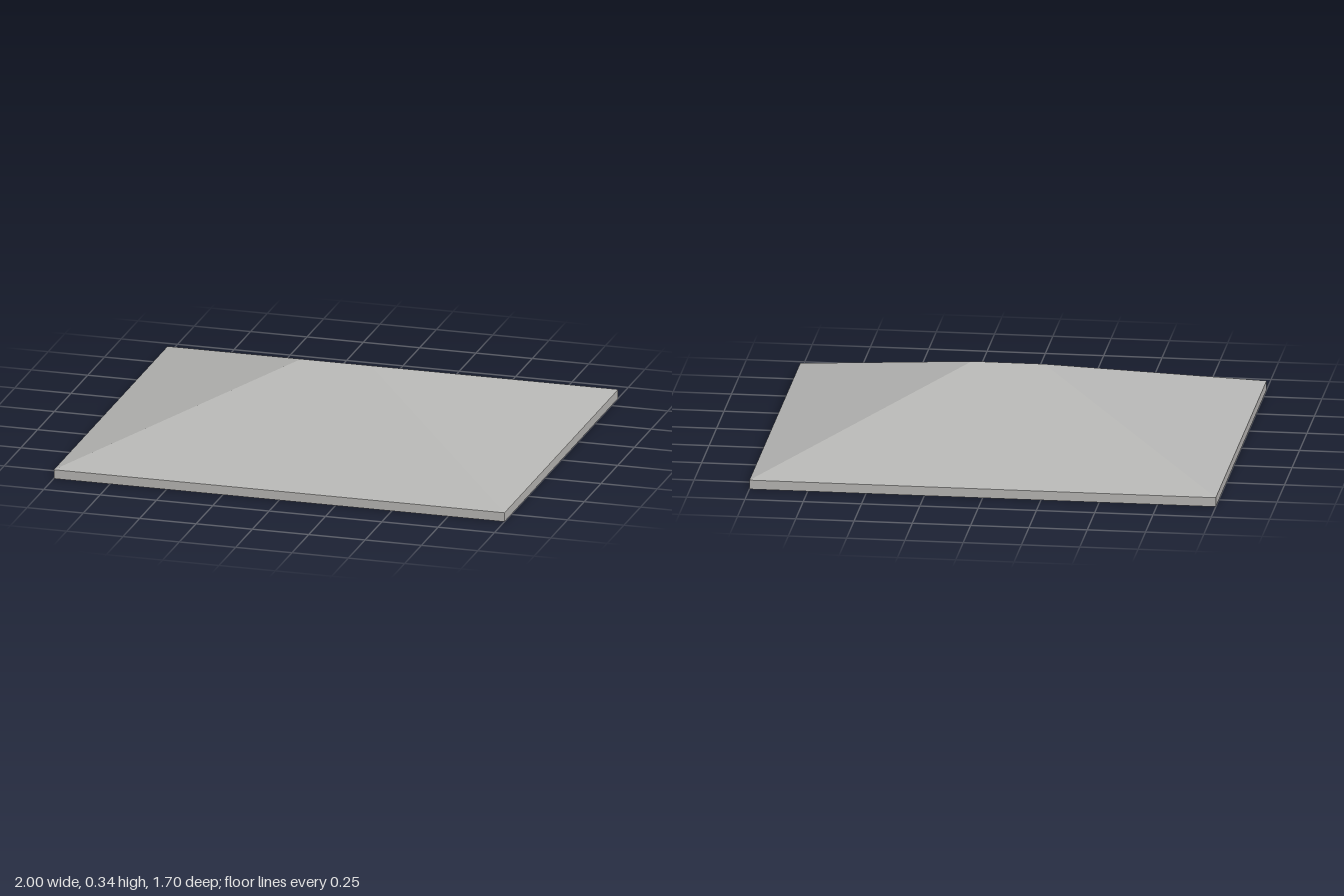
import * as THREE from 'three';

const W = 1, D = 0.85;          // half width and half depth at the eaves
const EAVE = 0.04, TOP = 0.342; // heights of eaves and ridge
const RIDGE = 0.155;            // half length of the ridge
const SOFFIT = 0.08;            // depth of the boards under front and back eaves

// Flat face from corners listed counter-clockwise as seen from outside
function face(name, corners, material) {
  const points = [];
  for (let i = 1; i < corners.length - 1; i++) {
    points.push(...corners[0], ...corners[i], ...corners[i + 1]);
  }
  const geometry = new THREE.BufferGeometry();
  geometry.setAttribute('position', new THREE.Float32BufferAttribute(points, 3));
  geometry.computeVertexNormals();
  const mesh = new THREE.Mesh(geometry, material);
  mesh.name = name;
  return mesh;
}

export function createModel() {
  const roofGrey = new THREE.MeshStandardMaterial({ color: 0xb4b4b2, side: THREE.DoubleSide });
  roofGrey.name = 'roof grey';
  const trimGrey = new THREE.MeshStandardMaterial({ color: 0xb4b2b0, side: THREE.DoubleSide });
  trimGrey.name = 'trim grey';

  const model = new THREE.Group();
  model.name = 'hippedRoof';

  // Each half holds one long slope, one hipped end and their trim
  for (const [half, s] of [['front', 1], ['back', -1]]) {
    const group = new THREE.Group();
    group.name = half + 'Half';
    group.rotation.y = s > 0 ? 0 : Math.PI;
    group.add(
      // Roof slopes
      face('longSlope', [[-W, EAVE, D], [W, EAVE, D], [RIDGE, TOP, 0], [-RIDGE, TOP, 0]], roofGrey),
      face('hipSlope', [[W, EAVE, D], [W, EAVE, -D], [RIDGE, TOP, 0]], roofGrey),
      // Fascia boards
      face('longFascia', [[-W, 0, D], [W, 0, D], [W, EAVE, D], [-W, EAVE, D]], trimGrey),
      face('endFascia', [[W, 0, D], [W, 0, -D], [W, EAVE, -D], [W, EAVE, D]], trimGrey),
      // Soffit under the long eave, facing down
      face('soffit', [[-W, 0, D - SOFFIT], [W, 0, D - SOFFIT], [W, 0, D], [-W, 0, D]], trimGrey),
    );
    model.add(group);
  }
  return model;
}
